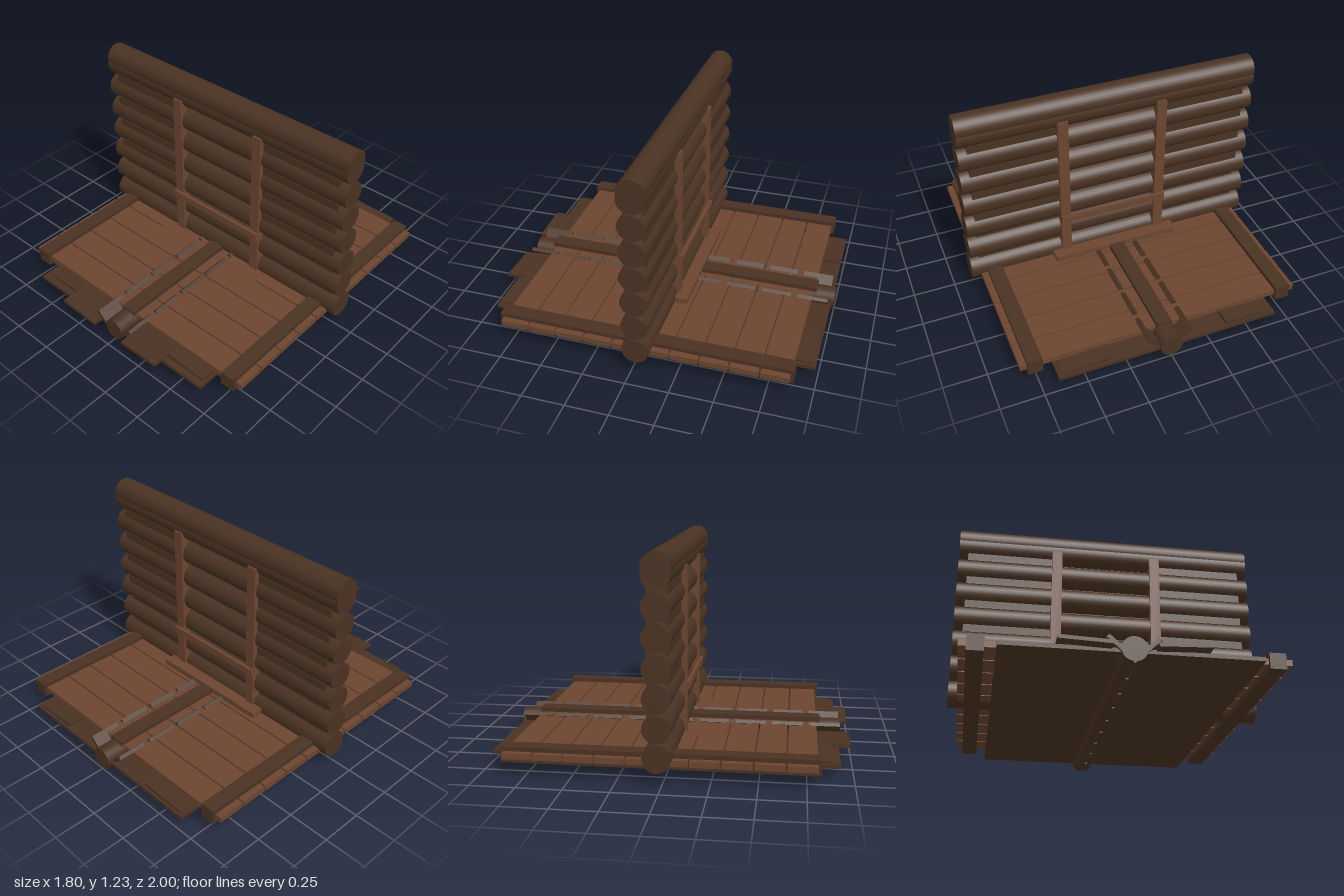
import * as THREE from 'three';

const dark = new THREE.MeshStandardMaterial({ color: 0x4a3222 });
const light = new THREE.MeshStandardMaterial({ color: 0x6b4530 });

export function createModel() {
  const model = new THREE.Group();

  // Box given by its extents on each axis
  function box(name, mat, [x0, x1], [y0, y1], [z0, z1]) {
    const m = new THREE.Mesh(new THREE.BoxGeometry(x1 - x0, y1 - y0, z1 - z0), mat);
    m.position.set((x0 + x1) / 2, (y0 + y1) / 2, (z0 + z1) / 2);
    m.name = name;
    model.add(m);
    return m;
  }
  function log(name, radius, length, y, z, axis) {
    const g = new THREE.CylinderGeometry(radius, radius, length, 28);
    if (axis === 'x') g.rotateZ(Math.PI / 2);
    else g.rotateX(Math.PI / 2);
    const m = new THREE.Mesh(g, dark);
    m.position.set(0, y, z);
    m.name = name;
    model.add(m);
  }

  // Log wall
  const wallZ = -0.025, step = 0.159, firstY = 0.152;
  for (let i = 0; i < 7; i++) log('wallLog', 0.077, 1.8, firstY + i * step, wallZ, 'x');
  log('topLog', 0.077, 1.8, 1.15, wallZ, 'x');

  // Filler strips in the seams, outside the posts
  for (let i = 0; i < 6; i++) {
    const y = firstY + (i + 0.5) * step;
    const h = i < 2 ? 0.008 : 0.024;
    const d = i < 2 ? 0.035 : 0.058;
    for (const x of [[-0.845, -0.3], [0.3, 0.845]])
      box('seamStrip', dark, x, [y - h, y + h], [wallZ - d, wallZ + d]);
  }

  // Core boards seen through the central seams
  for (let i = 0; i < 4; i++) {
    const x = -0.27 + i * 0.137;
    box('coreBoard', light, [x, x + 0.13], [0.16, 1.08], [wallZ - 0.012, wallZ + 0.012]);
  }

  // Posts and cross rails on both faces of the wall
  for (const s of [-1, 1]) {
    const span = (a, b) => [wallZ + s * a, wallZ + s * b].sort((p, q) => p - q);
    for (const x of [[-0.333, -0.272], [0.272, 0.333]])
      box('post', light, x, [0.11, 1.093], span(0.035, 0.088));
    box('crossRail', light, [-0.333, 0.333], [0.383, 0.427], span(0.086, 0.107));
  }
  box('backSill', light, [-0.397, 0.39], [0.125, 0.165], [-0.175, -0.05]);
  box('frontSill', light, [-0.397, 0.39], [0.095, 0.129], [-0.03, 0.16]);

  // Deck planks
  for (let i = 0; i < 10; i++) {
    const z = -0.873 + i * 0.169;
    box('deckPlank', light, [-0.845, 0.845], [0.096, 0.13], [z, z + 0.159]);
  }

  // Battens along the deck
  for (const c of [-0.762, 0.762])
    box('sideBatten', dark, [c - 0.044, c + 0.044], [0.067, 0.155], [-0.89, 0.827]);
  box('centreBatten', dark, [-0.045, 0.045], [0.09, 0.156], [-0.89, 0.827]);

  // Central keel log
  log('keelLog', 0.066, 1.945, 0.077, -0.0275, 'z');

  // Lower panels with loose boards at their ends
  for (const s of [-1, 1]) {
    const side = (a, b) => (s < 0 ? [-b, -a] : [a, b]);
    box('lowerPanel', dark, side(0.04, 0.66), [0.06, 0.082], [-0.985, 0.93]);
    box('looseBoard', dark, side(0.35, 0.64), [0.08, 0.098], [-0.97, 0.89]).rotation.z = s * -0.04;
    box('endBoard', dark, side(0.11, 0.38), [0.08, 0.1], [0.6, 0.995]).rotation.z = s * 0.04;

    // Slanted slats crossing beneath the keel
    for (let i = 0; i < 9; i++) {
      const z = -0.968 + i * 0.2165;
      const slat = box('slantedSlat', dark, [-0.095, 0.095], [-0.011, 0.011], [z, z + 0.18]);
      slat.position.x = s * 0.062;
      slat.position.y = 0.075;
      slat.rotation.z = s * 0.76;
    }
  }
  return model;
}
